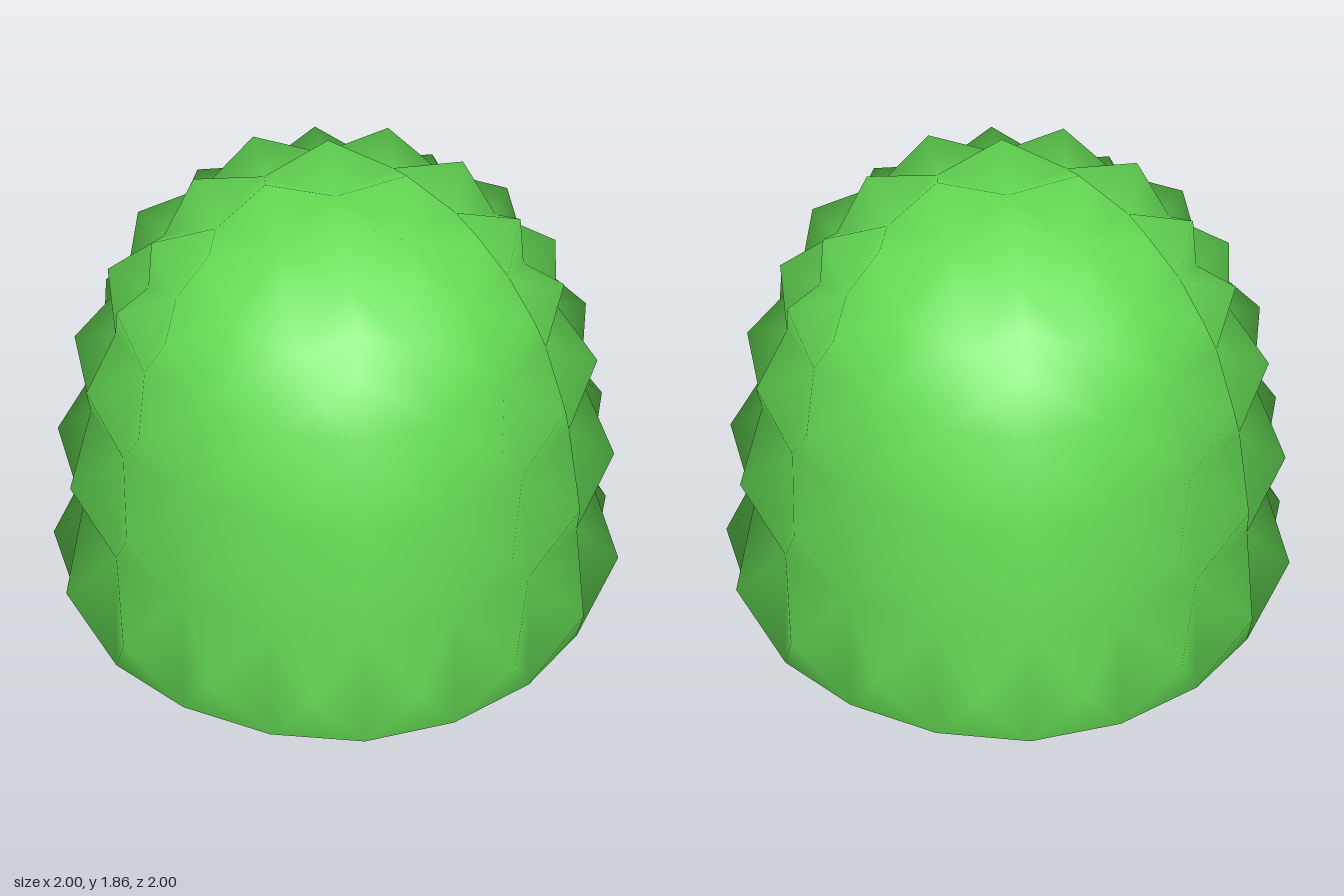
import * as THREE from 'three';

// One Catmull-Clark step on a quad mesh with an open boundary
function subdivide({ points, quads }) {
  const mean = (list) => list
    .reduce((sum, p) => sum.add(p), new THREE.Vector3())
    .divideScalar(list.length);
  const facePoints = quads.map((q) => mean(q.map((i) => points[i])));
  const edges = new Map();
  const key = (a, b) => (a < b ? `${a}_${b}` : `${b}_${a}`);
  const around = points.map(() => ({ faces: [], mids: [], rimMids: [] }));

  quads.forEach((q, f) => q.forEach((a, i) => {
    const b = q[(i + 1) % 4];
    const k = key(a, b);
    if (!edges.has(k)) edges.set(k, { a, b, faces: [] });
    edges.get(k).faces.push(facePoints[f]);
    around[a].faces.push(facePoints[f]);
  }));

  const result = [];
  for (const e of edges.values()) {
    const ends = [points[e.a], points[e.b]];
    const mid = mean(ends);
    const onRim = e.faces.length === 1;
    for (const v of [e.a, e.b]) {
      around[v].mids.push(mid);
      if (onRim) around[v].rimMids.push(mid);
    }
    e.index = result.push(onRim ? mid : mean([...ends, ...e.faces])) - 1;
  }

  const cornerStart = result.length;
  points.forEach((p, i) => {
    const { faces, mids, rimMids } = around[i];
    const n = faces.length;
    if (rimMids.length) {
      result.push(mean(rimMids).lerp(p, 0.5));
    } else {
      result.push(mean(faces)
        .addScaledVector(mean(mids), 2)
        .addScaledVector(p, n - 3)
        .divideScalar(n));
    }
  });

  const faceStart = result.length;
  result.push(...facePoints);
  const newQuads = quads.flatMap((q, f) => q.map((v, i) => [
    cornerStart + v,
    edges.get(key(v, q[(i + 1) % 4])).index,
    faceStart + f,
    edges.get(key(q[(i + 3) % 4], v)).index,
  ]));
  return { points: result, quads: newQuads };
}

// Raise a four-sided spike from every quad
function spikeGeometry({ points, quads }, height) {
  const all = points.map((p) => p.clone());
  const index = [];
  for (const q of quads) {
    const [a, b, c, d] = q.map((i) => points[i]);
    const normal = c.clone().sub(a).cross(d.clone().sub(b)).normalize();
    const tip = a.clone().add(b).add(c).add(d).multiplyScalar(0.25)
      .addScaledVector(normal, height);
    const t = all.push(tip) - 1;
    q.forEach((v, i) => index.push(v, q[(i + 1) % 4], t));
  }
  const geometry = new THREE.BufferGeometry().setFromPoints(all);
  geometry.setIndex(index);
  geometry.computeVertexNormals();
  return geometry;
}

export function createModel() {
  const group = new THREE.Group();
  group.name = 'spikyDome';

  // Box without a floor, rounded into a dome
  const half = 0.96, height = 1.9;
  const points = [];
  for (const y of [0, height]) {
    for (const [x, z] of [[-1, 1], [1, 1], [1, -1], [-1, -1]]) {
      points.push(new THREE.Vector3(x * half, y, z * half));
    }
  }
  const quads = [[4, 5, 6, 7]];
  for (let i = 0; i < 4; i++) {
    const j = (i + 1) % 4;
    quads.push([i, j, j + 4, i + 4]);
  }
  let cage = { points, quads };
  for (let step = 0; step < 2; step++) cage = subdivide(cage);

  // Spiked shell, open underneath
  const shell = new THREE.Mesh(
    spikeGeometry(cage, 0.13),
    new THREE.MeshStandardMaterial({ color: 0x66dd55, side: THREE.DoubleSide }),
  );
  shell.name = 'spikedShell';
  group.add(shell);
  return group;
}
